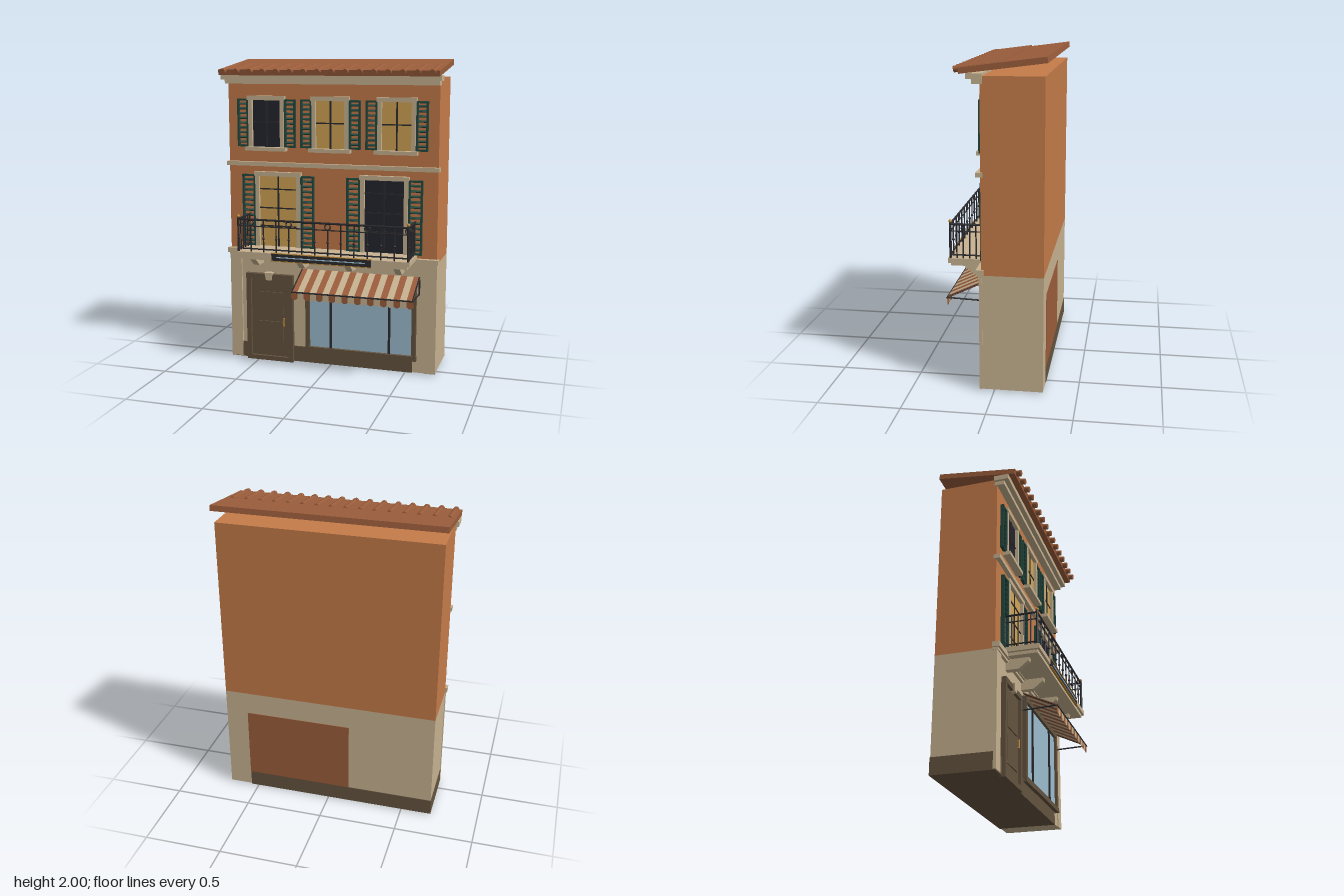
import * as THREE from 'three';

const mat = (name, color) => {
  const m = new THREE.MeshStandardMaterial({ color });
  m.name = name;
  return m;
};

export function createModel() {
  const M = {
    plaster: mat('orange plaster', 0xc67c4a),
    stone: mat('pale stone', 0xc8b391),
    roof: mat('terracotta', 0x9c5e3c),
    wood: mat('brown wood', 0x65543f),
    lit: mat('lit glass', 0xd2a556),
    dark: mat('dark glass', 0x24242f),
    blue: mat('shop glass', 0x9dbed0),
    iron: mat('black iron', 0x2b2a2e),
    green: mat('shutter green', 0x24483f),
    gold: mat('brass', 0xb8863a),
  };
  const model = new THREE.Group();
  model.name = 'townhouse';

  const group = (name, parent = model) => {
    const g = new THREE.Group();
    g.name = name;
    parent.add(g);
    return g;
  };
  const add = (parent, name, geo, m) => {
    const mesh = new THREE.Mesh(geo, m);
    mesh.name = name;
    parent.add(mesh);
    return mesh;
  };
  // Box given by its limits on each axis
  const box = (p, name, m, x0, x1, y0, y1, z0, z1) => {
    const b = add(p, name, new THREE.BoxGeometry(x1 - x0, y1 - y0, z1 - z0), m);
    b.position.set((x0 + x1) / 2, (y0 + y1) / 2, (z0 + z1) / 2);
    return b;
  };
  // Round bar between two points
  const bar = (p, name, m, a, b, r, sides = 6) => {
    const A = new THREE.Vector3(...a), d = new THREE.Vector3(...b).sub(A);
    const c = add(p, name, new THREE.CylinderGeometry(r, r, d.length(), sides), m);
    c.position.copy(A).addScaledVector(d, 0.5);
    c.quaternion.setFromUnitVectors(new THREE.Vector3(0, 1, 0), d.normalize());
    return c;
  };

  // Walls, plinth and pilasters
  const walls = group('walls');
  box(walls, 'upperWall', M.plaster, -0.695, 0.695, 0.727, 1.89, -0.295, 0.075);
  box(walls, 'groundFloorWall', M.stone, -0.695, 0.695, 0.01, 0.727, -0.295, 0.075);
  box(walls, 'plinth', M.wood, -0.698, 0.548, 0.006, 0.11, -0.298, 0.083);
  box(walls, 'rearPanel', M.roof, -0.14, 0.55, 0.11, 0.58, -0.298, -0.29);
  for (const s of [-1, 1]) {
    const inner = 0.62, outer = 0.699;
    box(walls, 'pilaster', M.stone, s < 0 ? -outer : inner, s < 0 ? -inner : outer, 0.01, 0.72, 0.07, 0.088);
  }
  box(walls, 'rightPier', M.stone, 0.548, 0.62, 0.01, 0.72, 0.07, 0.081);

  // String courses and cornice
  const bands = group('stoneBands');
  box(bands, 'lowerBand', M.stone, -0.709, 0.709, 0.73, 0.762, 0.06, 0.105);
  box(bands, 'lowerBandBase', M.stone, -0.7, 0.7, 0.715, 0.73, 0.06, 0.093);
  box(bands, 'middleBand', M.stone, -0.705, 0.705, 1.315, 1.342, 0.06, 0.102);
  box(bands, 'corniceBase', M.stone, -0.7, 0.7, 1.845, 1.872, 0.06, 0.122);
  box(bands, 'corniceTop', M.stone, -0.715, 0.715, 1.872, 1.905, 0.06, 0.152);

  // Sloping roof with round tiles along the eaves
  const roof = group('roof');
  const slab = add(roof, 'roofSlab', new THREE.BoxGeometry(1.424, 0.035, 0.506), M.roof);
  slab.position.set(0, 1.95, -0.057);
  slab.rotation.x = 0.129;
  for (let i = 0; i < 16; i++) {
    const x = -0.672 + i * 0.0896;
    bar(roof, 'roofTile', M.roof, [x, 1.924, 0.225], [x, 1.96, -0.05], 0.016, 10);
    bar(roof, 'tileEnd', M.roof, [x, 1.923, 0.225], [x, 1.928, 0.19], 0.019, 10);
  }

  // Louvred shutter
  const shutter = (p, x0, x1, y0, y1, slats) => {
    const g = group('shutter', p), t = 0.012;
    box(g, 'shutterStile', M.green, x0, x0 + t, y0, y1, 0.073, 0.097);
    box(g, 'shutterStile', M.green, x1 - t, x1, y0, y1, 0.073, 0.097);
    for (const y of [y0, y1 - t]) box(g, 'shutterRail', M.green, x0, x1, y, y + t, 0.073, 0.095);
    for (let i = 1; i <= slats; i++) {
      const y = y0 + (i * (y1 - y0)) / (slats + 1);
      const s = box(g, 'shutterSlat', M.green, x0 + t, x1 - t, y - 0.003, y + 0.003, 0.076, 0.094);
      s.rotation.x = 0.5;
    }
  };

  // Framed window: w is half the outer width, rows are the heights of the glazing bars
  const windowUnit = (name, x, w, y0, y1, glass, rows, shutterWidth, slats, sill) => {
    const g = group(name), j = 0.026;
    box(g, 'glass', glass, x - w + j, x + w - j, y0, y1, 0.073, 0.08);
    for (const s of [-1, 1]) {
      const c = x + s * (w - j / 2);
      box(g, 'jamb', M.stone, c - j / 2, c + j / 2, y0, y1, 0.07, 0.1);
      const a = x + s * (w + 0.002), b = x + s * (w + shutterWidth);
      shutter(g, Math.min(a, b), Math.max(a, b), y0, y1 + 0.003, slats);
    }
    box(g, 'lintel', M.stone, x - w - 0.006, x + w + 0.006, y1 - 0.004, y1 + 0.024, 0.07, 0.104);
    if (sill) box(g, 'sill', M.stone, x - w - 0.016, x + w + 0.016, y0 - 0.024, y0, 0.07, 0.122);
    box(g, 'glazingBar', M.iron, x - 0.005, x + 0.005, y0, y1, 0.078, 0.086);
    for (const y of rows) box(g, 'glazingBar', M.iron, x - w + j, x + w - j, y - 0.004, y + 0.004, 0.078, 0.085);
  };
  [M.dark, M.lit, M.lit].forEach((m, i) =>
    windowUnit('topWindow', (i - 1) * 0.43, 0.121, 1.44, 1.745, m, [1.6], 0.077, 9, true));
  [M.lit, M.dark].forEach((m, i) =>
    windowUnit('balconyDoor', (i - 0.5) * 0.71, 0.154, 0.785, 1.255, m, [0.92, 1.04, 1.165], 0.092, 13, false));

  // Front door with keystone
  const door = group('frontDoor');
  box(door, 'doorLeaf', M.wood, -0.552, -0.285, 0.01, 0.57, 0.07, 0.087);
  box(door, 'doorJamb', M.wood, -0.582, -0.55, 0, 0.594, 0.07, 0.104);
  box(door, 'doorJamb', M.wood, -0.288, -0.256, 0, 0.594, 0.07, 0.104);
  box(door, 'doorHead', M.wood, -0.582, -0.256, 0.562, 0.596, 0.07, 0.106);
  box(door, 'threshold', M.wood, -0.582, -0.256, 0, 0.03, 0.07, 0.104);
  box(door, 'upperPanel', M.wood, -0.51, -0.328, 0.318, 0.472, 0.08, 0.094);
  box(door, 'lowerPanel', M.wood, -0.51, -0.328, 0.1, 0.27, 0.08, 0.094);
  bar(door, 'doorHandle', M.gold, [-0.32, 0.245, 0.103], [-0.32, 0.3, 0.103], 0.006, 8);
  for (const y of [0.25, 0.295]) bar(door, 'handleMount', M.gold, [-0.32, y, 0.085], [-0.32, y, 0.103], 0.004);
  const key = new THREE.Shape([[-0.018, 0.557], [0.018, 0.557], [0.028, 0.607], [-0.028, 0.607]].map(p => new THREE.Vector2(...p)));
  add(door, 'keystone', new THREE.ExtrudeGeometry(key, { depth: 0.045, bevelEnabled: false }), M.stone)
    .position.set(-0.42, 0, 0.07);

  // Shop window
  const shop = group('shopWindow');
  box(shop, 'shopGlass', M.blue, -0.145, 0.548, 0.12, 0.61, 0.075, 0.086);
  box(shop, 'shopJamb', M.wood, -0.168, -0.14, 0.09, 0.635, 0.07, 0.103);
  box(shop, 'shopJamb', M.wood, 0.545, 0.573, 0.09, 0.635, 0.07, 0.103);
  box(shop, 'shopHead', M.wood, -0.168, 0.573, 0.605, 0.635, 0.07, 0.103);
  box(shop, 'shopSill', M.wood, -0.172, 0.577, 0.09, 0.122, 0.07, 0.107);
  for (const x of [0.005, 0.397]) box(shop, 'mullion', M.iron, x - 0.007, x + 0.007, 0.12, 0.61, 0.08, 0.096);

  // Striped awning with scalloped valance
  const awning = group('awning');
  const n = 19, x0 = -0.195, sw = 0.79 / n, rise = 0.1, run = 0.21;
  const flap = new THREE.Shape();
  flap.moveTo(-sw / 2, 0);
  flap.lineTo(-sw / 2, -0.042);
  flap.quadraticCurveTo(0, -0.066, sw / 2, -0.042);
  flap.lineTo(sw / 2, 0);
  const flapGeo = new THREE.ExtrudeGeometry(flap, { depth: 0.003, bevelEnabled: false, curveSegments: 6 });
  const clothGeo = new THREE.BoxGeometry(sw, Math.hypot(rise, run), 0.004);
  for (let i = 0; i < n; i++) {
    const x = x0 + (i + 0.5) * sw, m = i % 2 ? M.stone : M.roof;
    const cloth = add(awning, 'awningStripe', clothGeo, m);
    cloth.position.set(x, 0.595, 0.195);
    cloth.rotation.x = -Math.atan2(run, rise);
    add(awning, 'valanceFlap', flapGeo, m).position.set(x, 0.546, 0.299);
  }
  bar(awning, 'awningFrontBar', M.iron, [-0.195, 0.543, 0.303], [0.597, 0.543, 0.303], 0.005);
  for (const x of [-0.19, 0.59]) {
    bar(awning, 'awningArm', M.iron, [x, 0.535, 0.085], [x, 0.543, 0.3], 0.005);
    bar(awning, 'awningSideBar', M.iron, [x, 0.645, 0.09], [x, 0.545, 0.3], 0.005);
    bar(awning, 'awningWallBar', M.iron, [x, 0.53, 0.092], [x, 0.63, 0.092], 0.006);
  }

  // Balcony slab on tapered corbels
  const balcony = group('balcony');
  box(balcony, 'balconySlab', M.stone, -0.568, 0.568, 0.755, 0.785, 0.07, 0.3);
  box(balcony, 'balconySlabBase', M.stone, -0.55, 0.55, 0.735, 0.755, 0.07, 0.285);
  const corbel = new THREE.Shape([[0.07, 0.735], [0.22, 0.735], [0.215, 0.715], [0.155, 0.668], [0.07, 0.668]]
    .map(([z, y]) => new THREE.Vector2(-z, y)));
  const corbelGeo = new THREE.ExtrudeGeometry(corbel, { depth: 0.04, bevelEnabled: false });
  corbelGeo.rotateY(Math.PI / 2);
  for (const x of [-0.485, -0.17, 0.15, 0.47]) add(balcony, 'corbel', corbelGeo, M.stone).position.x = x - 0.02;

  // Iron railing with rings and brass finials
  const rail = group('railing', balcony);
  const rx = 0.555, rz = 0.285;
  for (const [y, r] of [[0.995, 0.007], [0.952, 0.004], [0.805, 0.005]]) {
    bar(rail, 'frontRail', M.iron, [-rx, y, rz], [rx, y, rz], r);
    for (const s of [-1, 1]) bar(rail, 'sideRail', M.iron, [s * rx, y, 0.075], [s * rx, y, rz], r);
  }
  for (let i = 0; i <= 13; i++) {
    const x = -rx + (i * 2 * rx) / 13;
    bar(rail, 'baluster', M.iron, [x, 0.785, rz], [x, i % 3 === 1 ? 0.952 : 0.995, rz], 0.0045);
    add(rail, 'balusterKnob', new THREE.SphereGeometry(0.009, 8, 6), M.iron).position.set(x, 0.875, rz);
    if (i % 3 === 1) add(rail, 'railRing', new THREE.TorusGeometry(0.018, 0.004, 6, 16), M.iron).position.set(x, 0.973, rz);
  }
  for (const s of [-1, 1]) {
    for (let i = 0; i < 5; i++) {
      const z = 0.09 + i * 0.039;
      bar(rail, 'sideBaluster', M.iron, [s * rx, 0.785, z], [s * rx, 0.995, z], 0.0045);
    }
    bar(rail, 'cornerPost', M.iron, [s * rx, 0.785, rz], [s * rx, 1.005, rz], 0.008, 8);
    add(rail, 'finial', new THREE.SphereGeometry(0.011, 10, 8), M.gold).position.set(s * rx, 1.013, rz);
  }

  // Blank sign board on the balcony edge
  const sign = group('signBoard', balcony);
  box(sign, 'signPanel', M.iron, -0.325, 0.325, 0.738, 0.788, 0.295, 0.306);
  for (const y of [0.735, 0.785]) box(sign, 'signTrim', M.gold, -0.328, 0.328, y, y + 0.005, 0.295, 0.309);
  box(sign, 'signStripe', M.blue, -0.29, 0.29, 0.76, 0.766, 0.304, 0.311);

  return model;
}
